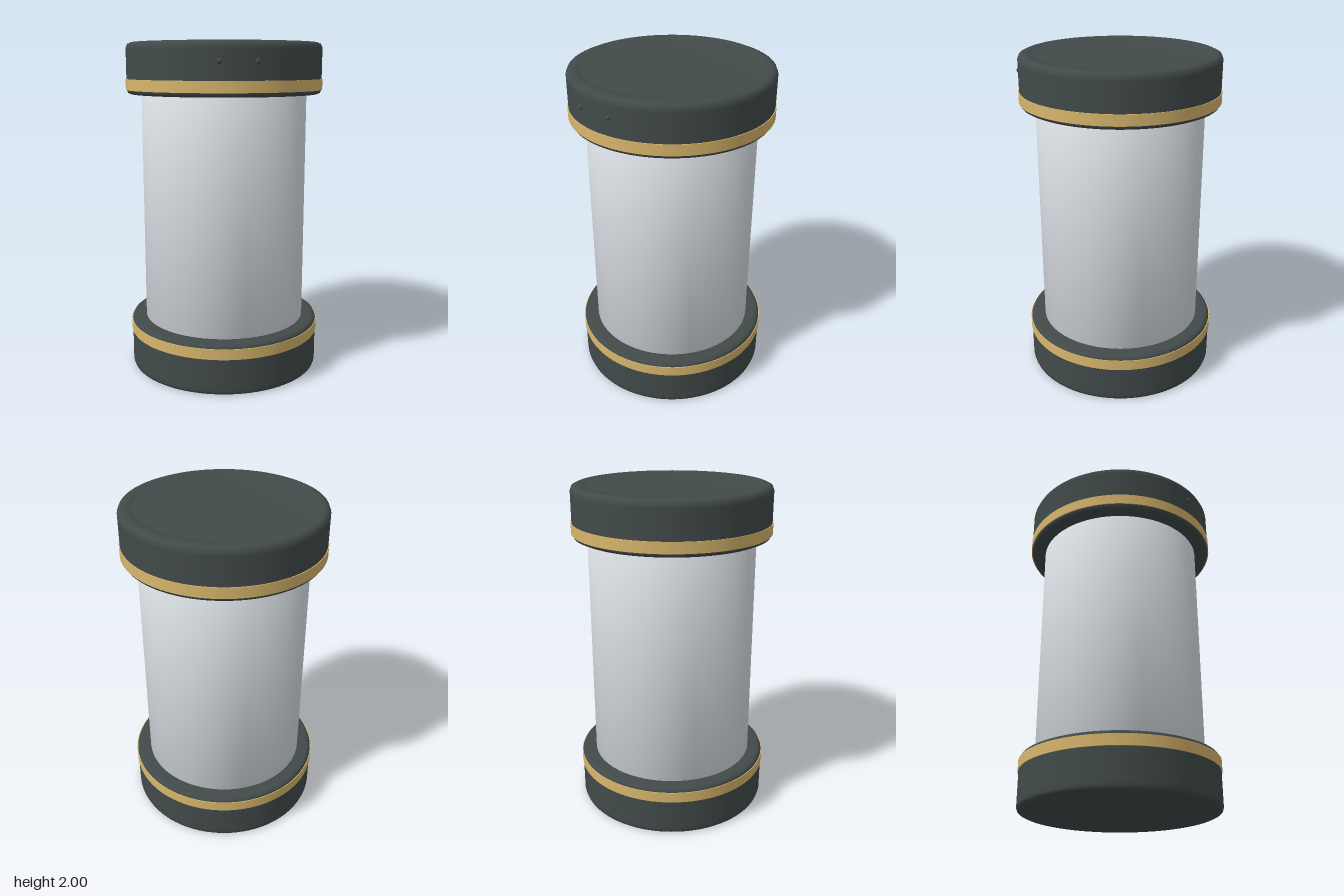
import * as THREE from 'three';

const SEGMENTS = 96;

function material(name, color) {
  const m = new THREE.MeshStandardMaterial({ color });
  m.name = name;
  return m;
}

// Turned solid from a bottom-to-top outline of [radius, height] pairs
function lathe(name, outline, mat) {
  const points = outline.map(([r, y]) => new THREE.Vector2(r, y));
  const mesh = new THREE.Mesh(new THREE.LatheGeometry(points, SEGMENTS), mat);
  mesh.name = name;
  return mesh;
}

export function createModel() {
  const model = new THREE.Group();
  model.name = 'canister';

  const charcoal = material('charcoal', 0x424a4a);
  const gold = material('gold', 0xd8b66c);
  const paleGrey = material('paleGrey', 0xdce1e6);

  // Body: softly shaded tube running into both end caps
  model.add(lathe('body', [[0, 0.25], [0.5, 0.25], [0.5, 1.76], [0, 1.76]], paleGrey));

  // Base cap with rounded edges
  model.add(lathe('baseCap', [
    [0, 0], [0.55, 0], [0.57, 0], [0.583, 0.006], [0.588, 0.02], [0.588, 0.04],
    [0.588, 0.275], [0.588, 0.287], [0.581, 0.303], [0.565, 0.31], [0.49, 0.31],
  ], charcoal));

  // Top cap with a rounded rim around a shallow recess
  model.add(lathe('topCap', [
    [0.49, 1.7], [0.565, 1.7], [0.581, 1.707], [0.588, 1.722], [0.588, 1.74],
    [0.588, 1.955], [0.588, 1.97], [0.579, 1.991], [0.558, 2], [0.51, 2],
    [0.51, 1.985], [0, 1.985],
  ], charcoal));

  // Gold bands standing slightly proud of the caps
  for (const [name, y] of [['baseBand', 0.254], ['topBand', 1.756]]) {
    const band = new THREE.Mesh(new THREE.CylinderGeometry(0.593, 0.593, 0.064, SEGMENTS), gold);
    band.name = name;
    band.position.y = y;
    model.add(band);
  }

  // Pair of small studs on the front of the top cap
  for (const [name, side] of [['leftStud', 1], ['rightStud', -1]]) {
    const stud = new THREE.Mesh(new THREE.SphereGeometry(0.015, 16, 12), charcoal);
    stud.name = name;
    stud.position.set(side * 0.104, 1.89, 0.578);
    model.add(stud);
  }

  return model;
}
